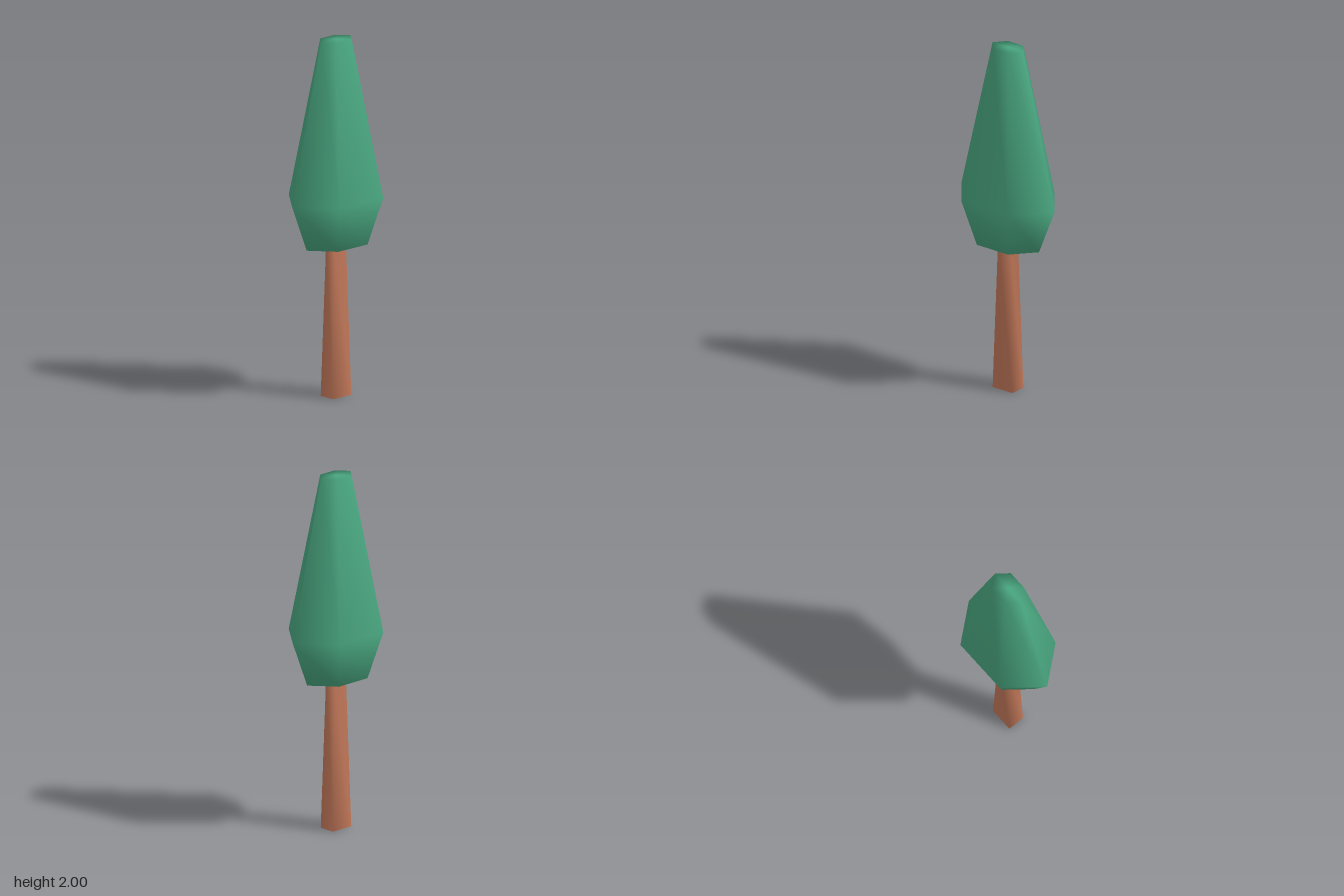
import * as THREE from 'three';
import { mergeVertices } from 'three/addons/utils/BufferGeometryUtils.js';

// Closed prism with `sides` sides from [radius, y] rings, squashed in z, softly shaded
function prism(name, rings, sides, phiStart, depth, material) {
  const first = rings[0], last = rings[rings.length - 1];
  const profile = [[0, first[1]], ...rings, [0, last[1]]].map(([r, y]) => new THREE.Vector2(r, y));
  let geometry = new THREE.LatheGeometry(profile, sides, phiStart);
  geometry.scale(1, 1, depth);
  // weld every corner so the normals run smoothly over all edges
  geometry.deleteAttribute('uv');
  geometry.deleteAttribute('normal');
  geometry = mergeVertices(geometry, 1e-4);
  geometry.computeVertexNormals();
  const mesh = new THREE.Mesh(geometry, material);
  mesh.name = name;
  return mesh;
}

export function createModel() {
  const foliage = new THREE.MeshStandardMaterial({ color: 0x4aa881 });
  foliage.name = 'foliage green';
  const bark = new THREE.MeshStandardMaterial({ color: 0xc4795a });
  bark.name = 'bark brown';

  const tree = new THREE.Group();
  tree.name = 'tree';

  // four-sided tapering trunk (corner radius = half width * sqrt 2)
  const trunkRings = [[0.068, 0], [0.044, 0.86]].map(([w, y]) => [w * Math.SQRT2, y]);
  tree.add(prism('trunk', trunkRings, 4, Math.PI / 4, 0.71, bark));

  // six-sided crown, widest low down and cut flat at both ends
  const crownRings = [[0.217, 0.853], [0.325, 1.117], [0.108, 2]];
  tree.add(prism('crown', crownRings, 6, Math.PI / 6, 0.71, foliage));

  return tree;
}
